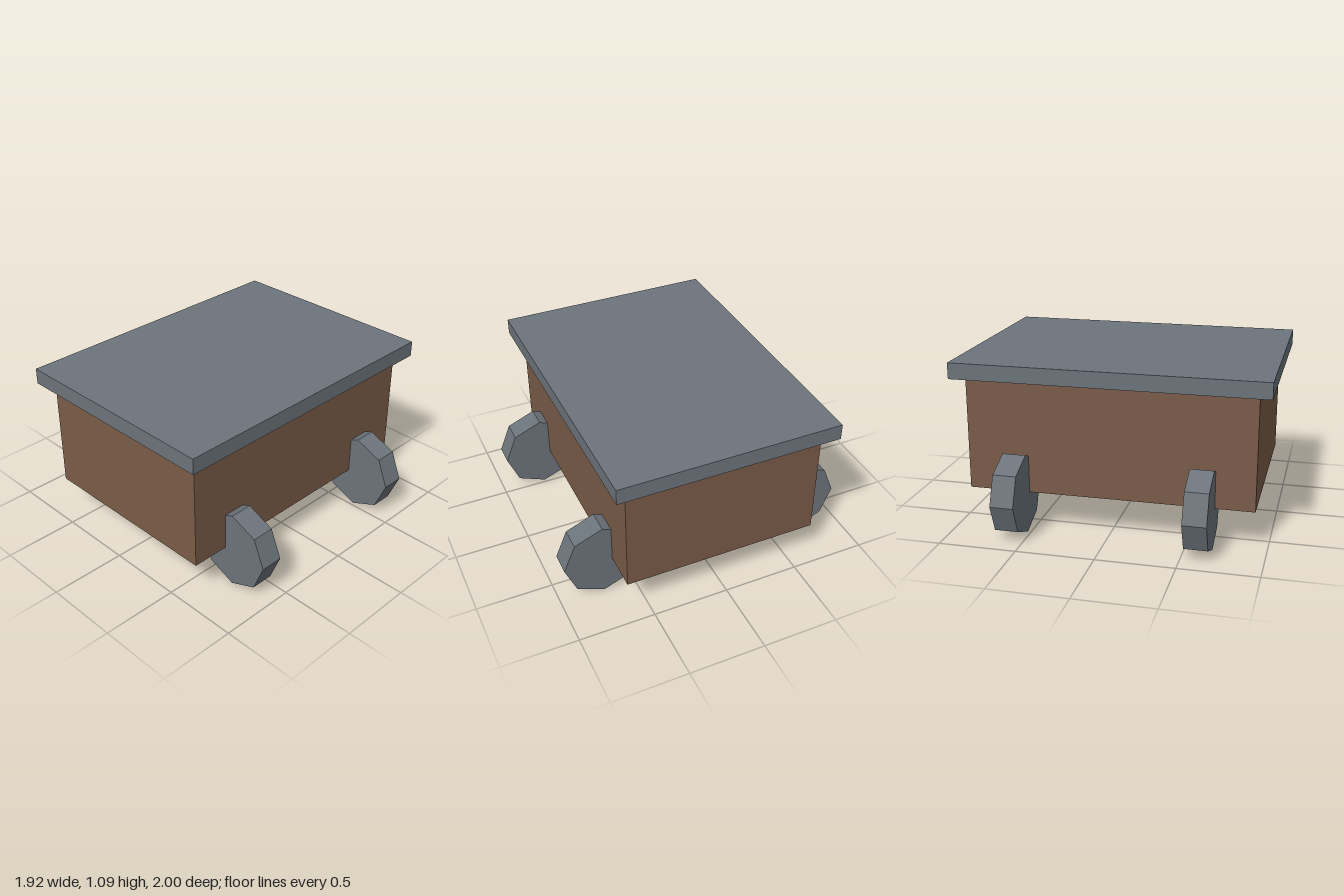
import * as THREE from 'three';

export function createModel() {
  const model = new THREE.Group();
  model.name = 'chestCart';

  const wood = new THREE.MeshStandardMaterial({ color: 0x7a5c48 });
  wood.name = 'brown wood';
  const iron = new THREE.MeshStandardMaterial({ color: 0x6c747b });
  iron.name = 'grey iron';
  wood.flatShading = iron.flatShading = true;

  const add = (name, geometry, material, x, y, z) => {
    const mesh = new THREE.Mesh(geometry, material);
    mesh.name = name;
    mesh.position.set(x, y, z);
    model.add(mesh);
  };

  // Box body and overhanging lid
  add('body', new THREE.BoxGeometry(1.29, 0.74, 1.84), wood, 0, 0.62, 0);
  add('lid', new THREE.BoxGeometry(1.455, 0.104, 2), iron, 0, 1.04, 0);

  // Four octagonal wheels, axles along z, partly sunk into the body
  const wheel = new THREE.CylinderGeometry(0.259, 0.259, 0.15, 8).rotateX(Math.PI / 2);
  for (const [side, x] of [['Left', 0.702], ['Right', -0.702]]) {
    for (const [end, z] of [['front', 0.596], ['back', -0.596]]) {
      add(`${end}${side}Wheel`, wheel, iron, x, 0.259, z);
    }
  }
  return model;
}
